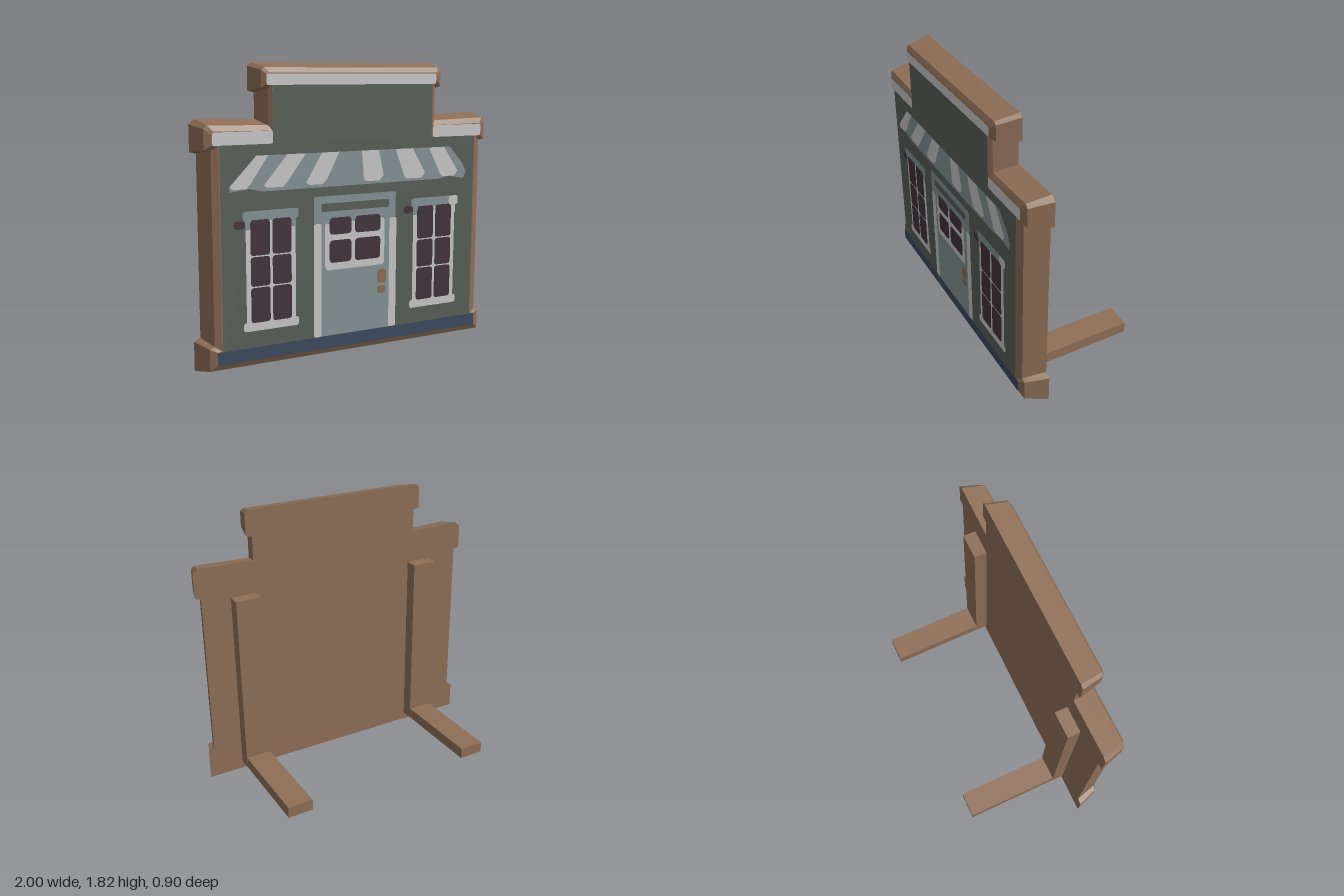
import * as THREE from 'three';

const mat = (name, color, side = THREE.FrontSide) => {
  const m = new THREE.MeshStandardMaterial({ color, side });
  m.name = name;
  return m;
};

export function createModel() {
  const model = new THREE.Group();
  model.name = 'storefront';
  const wood = mat('brown wood', 0x8e6f57);
  const green = mat('wall green', 0x586059);
  const white = mat('trim white', 0xcacaca);
  const teal = mat('pale blue', 0x859496);
  const navy = mat('base blue', 0x3d4b5e);
  const glass = mat('dark glass', 0x43343c);

  const add = (parent, name, geometry, material) => {
    const mesh = new THREE.Mesh(geometry, material);
    mesh.name = name;
    parent.add(mesh);
    return mesh;
  };
  const group = (name) => {
    const g = new THREE.Group();
    g.name = name;
    model.add(g);
    return g;
  };

  // Painted layers sit on the facade, each a hair in front of the one below
  const FRONT = 0.444;
  const shapeOf = (pts) => new THREE.Shape(pts.map(([x, y]) => new THREE.Vector2(x, y)));
  const paint = (parent, name, shape, layer, material) => {
    const g = new THREE.ShapeGeometry(shape, 4);
    g.translate(0, 0, FRONT + layer * 0.0012);
    return add(parent, name, g, material);
  };
  const poly = (parent, name, pts, layer, material) => paint(parent, name, shapeOf(pts), layer, material);
  const rect = (parent, name, x0, x1, y0, y1, layer, material, r = 0.012) => {
    const s = new THREE.Shape();
    s.moveTo(x0 + r, y0);
    s.lineTo(x1 - r, y0);
    s.quadraticCurveTo(x1, y0, x1, y0 + r);
    s.lineTo(x1, y1 - r);
    s.quadraticCurveTo(x1, y1, x1 - r, y1);
    s.lineTo(x0 + r, y1);
    s.quadraticCurveTo(x0, y1, x0, y1 - r);
    s.lineTo(x0, y0 + r);
    s.quadraticCurveTo(x0, y0, x0 + r, y0);
    return paint(parent, name, s, layer, material);
  };

  // Facade block: one stepped outline at three depths, joined by sloping sides
  const mirrored = (half) => [...half, ...half.slice().reverse().map(([x, y]) => [-x, y])];
  const rings = [
    { z: 0.28, pts: [[1, 0], [1, 0.18], [0.96, 0.2], [0.96, 1.3], [1, 1.31], [1, 1.47], [0.965, 1.5],
      [0.6, 1.49], [0.6, 1.645], [0.64, 1.655], [0.64, 1.8], [0.615, 1.82]] },
    { z: 0.425, pts: [[0.95, 0.035], [0.95, 0.17], [0.92, 0.18], [0.92, 1.325], [0.96, 1.33], [0.96, 1.45], [0.94, 1.47],
      [0.57, 1.46], [0.57, 1.67], [0.61, 1.675], [0.61, 1.775], [0.59, 1.79]] },
    { z: FRONT, pts: [[0.91, 0.07], [0.91, 0.15], [0.88, 0.155], [0.88, 1.35], [0.92, 1.355], [0.92, 1.42], [0.91, 1.435],
      [0.55, 1.43], [0.55, 1.695], [0.58, 1.7], [0.58, 1.75], [0.57, 1.76]] },
  ].map(({ z, pts }) => mirrored(pts).map(([x, y]) => [x, y, z]));
  const tris = [];
  for (let k = 0; k < 2; k++) {
    const b = rings[k], f = rings[k + 1], n = b.length;
    for (let i = 0; i < n; i++) {
      const j = (i + 1) % n;
      tris.push(...b[i], ...b[j], ...f[j], ...b[i], ...f[j], ...f[i]);
    }
  }
  const sides = new THREE.BufferGeometry();
  sides.setAttribute('position', new THREE.Float32BufferAttribute(tris, 3));
  sides.computeVertexNormals();
  const facade = group('facade');
  add(facade, 'facadeSides', sides, wood);
  poly(facade, 'facadeFront', rings[2], 0, wood);
  const back = new THREE.ShapeGeometry(shapeOf(rings[0]));
  back.rotateY(Math.PI);
  back.translate(0, 0, 0.28);
  add(facade, 'facadeBack', back, wood);

  // L-shaped supports behind the facade
  for (const x of [-0.652, 0.678]) {
    const support = group('support');
    const post = add(support, 'post', new THREE.BoxGeometry(0.175, 1.22, 0.085), wood);
    post.position.set(x, 0.66, 0.2375);
    const foot = add(support, 'foot', new THREE.BoxGeometry(0.17, 0.075, 0.645), wood);
    foot.position.set(x, 0.0875, -0.1275);
  }

  // Wall, base band and snowy white cornice strips
  poly(facade, 'wall', [[-0.875, 0.15], [0.87, 0.15], [0.87, 1.355], [0.54, 1.355], [0.54, 1.7],
    [-0.55, 1.7], [-0.55, 1.355], [-0.875, 1.355]], 1, green);
  rect(facade, 'baseBand', -0.91, 0.905, 0.07, 0.15, 2, navy, 0.004);
  rect(facade, 'corniceStrip', -0.915, -0.55, 1.355, 1.43, 2, white);
  rect(facade, 'corniceStrip', 0.55, 0.918, 1.355, 1.43, 2, white);
  rect(facade, 'topStrip', -0.585, 0.565, 1.69, 1.755, 2, white);

  // Striped awning, flaring towards the bottom
  const awning = group('awning');
  poly(awning, 'awningCloth', [[-0.82, 1.085], [-0.7, 1.1], [-0.61, 1.08], [0.6, 1.085], [0.68, 1.1], [0.79, 1.08],
    [0.81, 1.12], [0.78, 1.18], [0.68, 1.29], [-0.65, 1.29], [-0.82, 1.12]], 2, teal);
  const stripes = [[-0.655, -0.58, -0.82, -0.69], [-0.46, -0.34, -0.61, -0.46], [-0.235, -0.12, -0.34, -0.2],
    [0.035, 0.155, 0.05, 0.19], [0.275, 0.4, 0.34, 0.495], [0.52, 0.635, 0.61, 0.745]];
  for (const [t0, t1, b0, b1] of stripes) {
    poly(awning, 'awningStripe', [[b0, 1.115], [b0 + 0.02, 1.1], [b1 - 0.03, 1.1], [b1, 1.13],
      [t1, 1.29], [t0, 1.29]], 3, white);
  }

  // Door with header, jambs, four-pane light and handle
  const door = group('door');
  rect(door, 'doorPanel', -0.25, 0.245, 0.15, 0.9, 2, teal);
  rect(door, 'doorHeader', -0.29, 0.28, 0.86, 1.025, 2, teal);
  rect(door, 'headerPanel', -0.24, 0.23, 0.93, 0.98, 3, green);
  rect(door, 'doorJamb', -0.29, -0.24, 0.15, 0.86, 3, white);
  rect(door, 'doorJamb', 0.235, 0.287, 0.15, 0.86, 3, white);
  rect(door, 'doorLightTop', -0.205, 0.205, 0.85, 0.93, 3, teal);
  rect(door, 'doorLightFrame', -0.215, 0.2, 0.565, 0.87, 3, white, 0.03);
  for (const [x0, x1] of [[-0.185, -0.035], [-0.01, 0.17]]) {
    rect(door, 'doorPane', x0, x1, 0.785, 0.89, 4, glass, 0.025);
    rect(door, 'doorPane', x0, x1, 0.61, 0.75, 4, glass, 0.025);
  }
  rect(door, 'doorHandle', 0.15, 0.215, 0.445, 0.535, 4, wood, 0.025);
  rect(door, 'doorLock', 0.15, 0.207, 0.38, 0.43, 4, wood, 0.015);

  // Six-pane windows either side of the door
  for (const c of [-0.568, 0.57]) {
    const win = group('window');
    rect(win, 'windowFrame', c - 0.158, c + 0.158, 0.27, 0.93, 2, white);
    rect(win, 'windowSill', c - 0.178, c + 0.178, 0.25, 0.305, 3, white, 0.02);
    rect(win, 'windowHeader', c - 0.175, c + 0.178, 0.91, 0.97, 3, teal, 0.02);
    for (const s of [-1, 1]) {
      rect(win, 'headerBracket', c + s * 0.145 - 0.015, c + s * 0.145 + 0.015, 0.86, 0.93, 3, teal);
      for (const [y0, y1] of [[0.3, 0.512], [0.52, 0.697], [0.705, 0.917]]) {
        const x = c + s * 0.069;
        rect(win, 'windowPane', x - 0.061, x + 0.061, y0, y1, 4, glass, 0.02);
      }
    }
    const lower = c < 0 ? 0 : 0.008;
    rect(win, 'shadowMark', c - 0.23, c - 0.16, 0.868 + lower, 0.915 + lower, 1.5, glass, 0.022);
  }
  rect(facade, 'headerEnd', 0.68, 0.75, 0.91, 0.97, 4.5, white, 0.02);
  rect(facade, 'headerEndBracket', 0.7, 0.732, 0.855, 0.93, 4.5, white);

  return model;
}
